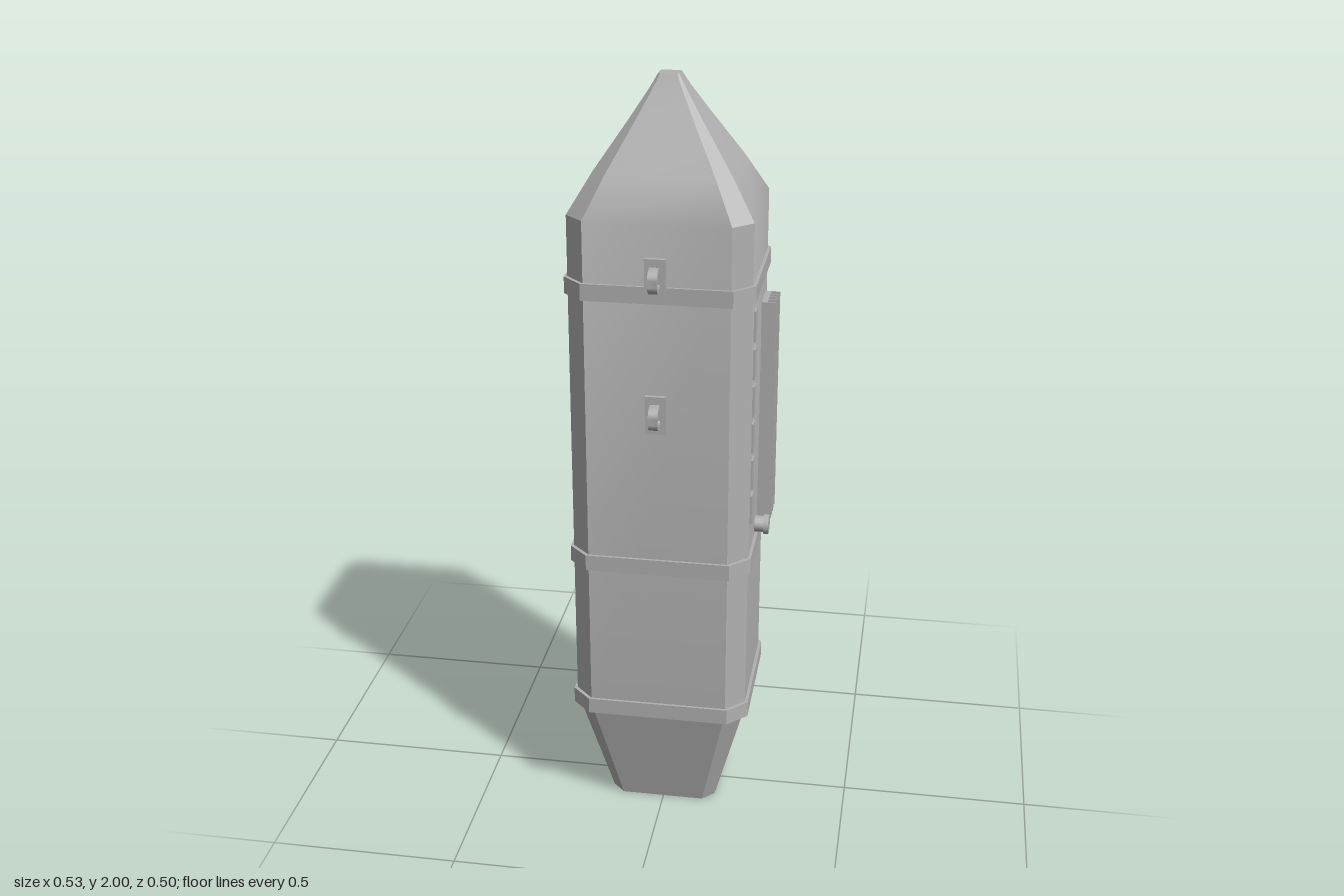
import * as THREE from 'three';
import { toCreasedNormals } from 'three/addons/utils/BufferGeometryUtils.js';

const CX = -0.002, CZ = -0.013; // body axis

// Rectangle with cut corners, counter-clockwise seen from above
function section(y, hx, hz, c) {
  return [
    [hx, hz - c], [hx, c - hz], [hx - c, -hz], [c - hx, -hz],
    [-hx, c - hz], [-hx, hz - c], [c - hx, hz], [hx - c, hz],
  ].map(([x, z]) => [x, y, z]);
}

// Closed skin through a stack of sections, bottom to top
function loft(sections) {
  const pos = sections.flat(2), idx = [], n = 8, last = (sections.length - 1) * n;
  for (let s = 0; s < sections.length - 1; s++) {
    for (let i = 0; i < n; i++) {
      const a = s * n + i, b = s * n + (i + 1) % n;
      idx.push(a, b, b + n, a, b + n, a + n);
    }
  }
  for (let i = 1; i < n - 1; i++) {
    idx.push(0, i + 1, i, last, last + i, last + i + 1);
  }
  const g = new THREE.BufferGeometry();
  g.setAttribute('position', new THREE.Float32BufferAttribute(pos, 3));
  g.setIndex(idx);
  return toCreasedNormals(g, 0.6);
}

export function createModel() {
  const model = new THREE.Group();
  model.name = 'capsule';
  const metal = new THREE.MeshStandardMaterial({ color: 0xb0b0b0 });
  metal.name = 'grey metal';

  function add(name, geometry, x, y, z) {
    const mesh = new THREE.Mesh(geometry, metal);
    mesh.name = name;
    mesh.position.set(x, y, z);
    model.add(mesh);
    return mesh;
  }
  const box = (name, w, h, d, x, y, z) => add(name, new THREE.BoxGeometry(w, h, d), x, y, z);

  // Tapered foot, straight hull and pointed nose
  add('foot', loft([section(0, 0.143, 0.13, 0.032), section(0.33, 0.23, 0.207, 0.048)]), CX, 0, CZ);
  const nose = [[1.68, 1], [1.78, 0.74], [1.89, 0.415], [1.96, 0.215], [1.985, 0.15], [2, 0.115]];
  add('hullAndNose', loft([
    section(0.33, 0.23, 0.207, 0.048),
    ...nose.map(([y, s]) => section(y, 0.23 * s, 0.207 * s, 0.048 * s)),
  ]), CX, 0, CZ);

  // Bands around the hull
  for (const y of [0.307, 0.742, 1.482]) {
    add('band', loft([section(y, 0.238, 0.214, 0.05), section(y + 0.043, 0.238, 0.214, 0.05)]), CX, 0, CZ);
  }

  // Lifting eyes on the front: flat ring on a small plate
  const ring = new THREE.Shape().absarc(0, 0, 0.032, 0, Math.PI * 2);
  ring.holes.push(new THREE.Path().absarc(0, 0, 0.018, 0, Math.PI * 2, true));
  const eye = toCreasedNormals(
    new THREE.ExtrudeGeometry(ring, { depth: 0.024, bevelEnabled: false, curveSegments: 10 })
      .translate(0, 0, -0.012).rotateY(Math.PI / 2), 0.8);
  for (const y of [1.547, 1.192]) {
    box('eyePlate', 0.053, 0.1, 0.016, -0.004, y, 0.197);
    add('liftingEye', eye, -0.004, y, 0.217);
  }

  for (const side of [1, -1]) {
    // Cooling fins on a backing plate
    box('finBase', 0.025, 0.61, 0.092, side * 0.2305, 1.11, -0.1);
    for (let i = 0; i < 5; i++) {
      box('fin', 0.04, 0.61, 0.004, side * 0.246, 1.11, -0.144 + i * 0.022);
    }
    // Row of shallow steps beside the front edge
    for (let i = 0; i < 6; i++) {
      box('step', 0.012, 0.08, 0.034, CX + side * 0.229, 0.91 + i * 0.1, 0.105);
    }
  }

  // Valve on the left side
  const cylX = (r, h) => toCreasedNormals(new THREE.CylinderGeometry(r, r, h, 12).rotateZ(Math.PI / 2), 0.8);
  add('valveStem', cylX(0.022, 0.04), 0.237, 0.808, -0.012);
  add('valveCap', cylX(0.027, 0.013), 0.2585, 0.808, -0.012);

  // Pair of pegs on the back
  const peg = toCreasedNormals(new THREE.CylinderGeometry(0.012, 0.012, 0.05, 12).rotateX(Math.PI / 2), 0.8);
  for (const y of [0.457, 0.543]) add('peg', peg, -0.003, y, -0.226);

  return model;
}
